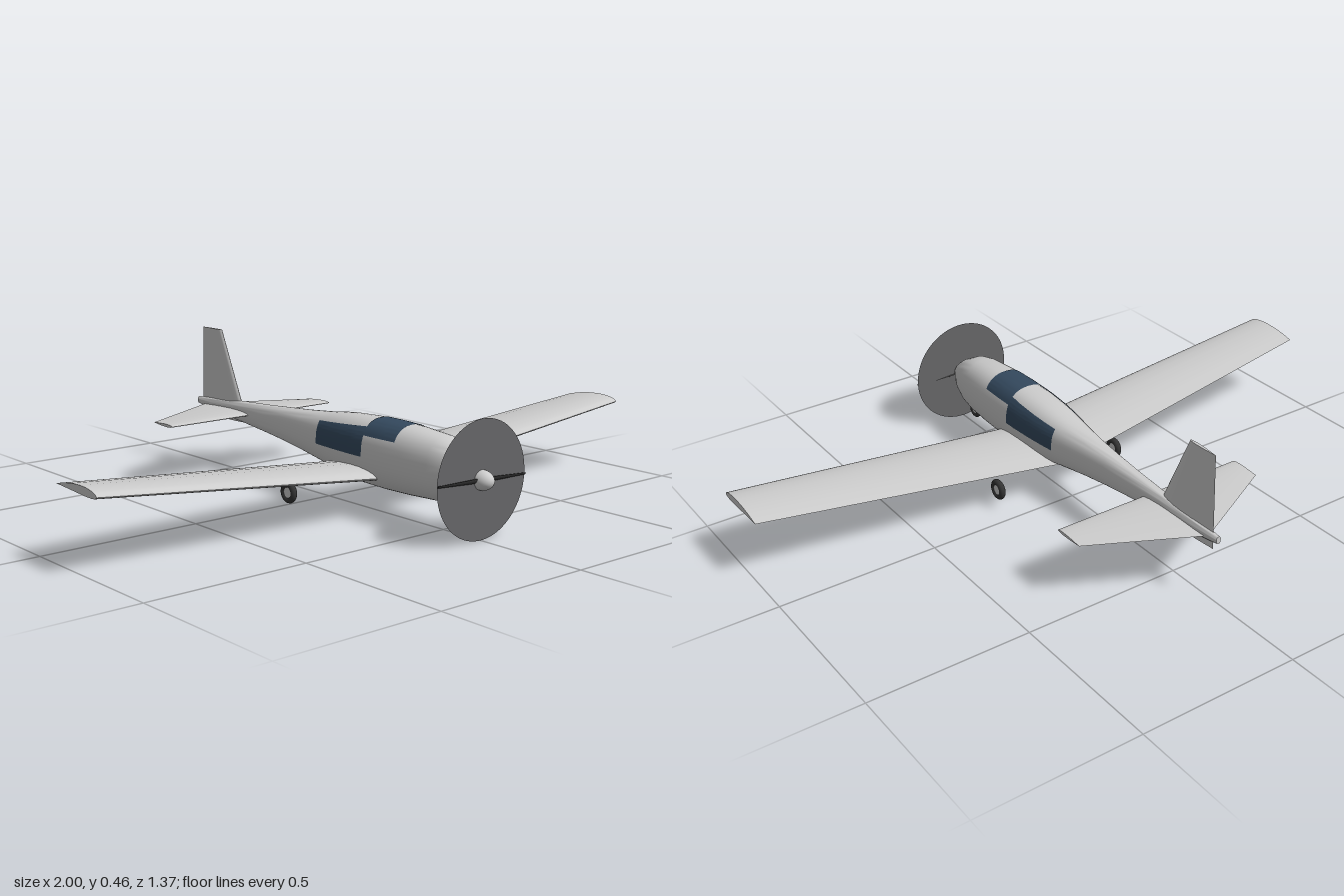
import * as THREE from 'three';
import { toCreasedNormals } from 'three/addons/utils/BufferGeometryUtils.js';

const mat = (name, color, side = THREE.FrontSide) => {
  const m = new THREE.MeshStandardMaterial({ color, side });
  m.name = name;
  return m;
};

// Skin a list of equal-length cross-sections, counter-clockwise about the sweep direction.
function loft(rings, closed = true) {
  const n = rings[0].length, index = [];
  for (let i = 0; i < rings.length - 1; i++) {
    for (let j = 0; j < (closed ? n : n - 1); j++) {
      const a = i * n + j, b = i * n + (j + 1) % n;
      index.push(a, b, a + n, b, b + n, a + n);
    }
  }
  if (closed) {
    const last = (rings.length - 1) * n;
    for (let j = 1; j < n - 1; j++) {
      index.push(0, j + 1, j, last, last + j, last + j + 1);
    }
  }
  const g = new THREE.BufferGeometry();
  g.setAttribute('position', new THREE.Float32BufferAttribute(rings.flat(2), 3));
  g.setIndex(index);
  return toCreasedNormals(g, 0.7);
}

// Airfoil outline as [thickness, chord position] pairs, from trailing edge over the top and back.
function foil(lead, trail, ratio, camber = 0) {
  const chord = lead - trail;
  const half = s => 5 * ratio * (0.2969 * Math.sqrt(s) - 0.126 * s - 0.3516 * s * s
    + 0.2843 * s ** 3 - 0.1036 * s ** 4);
  const point = (s, sign) => [
    chord * (sign * half(s) + camber * 4 * s * (1 - s)), lead - s * chord];
  const stations = [0.8, 0.6, 0.4, 0.25, 0.12, 0.05, 0.015];
  return [[0, trail], ...stations.map(s => point(s, 1)), [0, lead],
    ...stations.slice().reverse().map(s => point(s, -1))];
}

// Fuselage stations: z, top, bottom, half width
const STATIONS = [
  [-0.685, 0.218, 0.195, 0.008], [-0.6, 0.225, 0.183, 0.015], [-0.45, 0.235, 0.169, 0.021],
  [-0.3, 0.243, 0.153, 0.029], [-0.2, 0.25, 0.141, 0.036], [-0.1, 0.257, 0.127, 0.047],
  [0, 0.266, 0.112, 0.063], [0.06, 0.274, 0.1, 0.071], [0.12, 0.28, 0.09, 0.077],
  [0.2, 0.284, 0.082, 0.082], [0.3, 0.284, 0.08, 0.083], [0.4, 0.281, 0.082, 0.081],
  [0.5, 0.273, 0.086, 0.074], [0.55, 0.262, 0.094, 0.066], [0.6, 0.236, 0.109, 0.05],
  [0.625, 0.218, 0.123, 0.039], [0.64, 0.205, 0.135, 0.031],
];
const POWER = 2 / 2.4;
const spow = (v, p) => Math.sign(v) * Math.abs(v) ** p;

function section(z) {
  let i = 0;
  while (i < STATIONS.length - 2 && z > STATIONS[i + 1][0]) i++;
  const a = STATIONS[i], b = STATIONS[i + 1], t = (z - a[0]) / (b[0] - a[0]);
  const [top, bottom, rx] = [1, 2, 3].map(k => a[k] + (b[k] - a[k]) * t);
  return { cy: (top + bottom) / 2, ry: (top - bottom) / 2, rx };
}
function skin(z, angle, lift = 0) {
  const { cy, ry, rx } = section(z);
  return [(rx + lift) * spow(Math.cos(angle), POWER),
    cy + (ry + lift) * spow(Math.sin(angle), POWER), z];
}
// Angle on the right-hand half of a section at which the skin reaches height y
function angleAt(z, y) {
  const { cy, ry } = section(z);
  return Math.asin(THREE.MathUtils.clamp(spow((y - cy) / ry, 1 / POWER), -1, 1));
}
// Glass patch lying just over the fuselage skin
function glassPatch(z0, z1, from, to) {
  const rings = [];
  for (let i = 0; i <= 16; i++) {
    const z = z0 + (z1 - z0) * i / 16, a = from(z), b = to(z), ring = [];
    for (let j = 0; j <= 24; j++) ring.push(skin(z, a + (b - a) * j / 24, 0.002));
    rings.push(ring);
  }
  return loft(rings, false);
}

export function createModel() {
  const model = new THREE.Group();
  model.name = 'lightAircraft';
  const body = mat('bodyGrey', 0xcccccc);
  const glass = mat('windowBlue', 0x34495e, THREE.DoubleSide);
  const dark = mat('rubberBlack', 0x333333);
  const blur = mat('propellerDiscGrey', 0x666668, THREE.DoubleSide);
  const add = (name, geometry, material, parent = model) => {
    const m = new THREE.Mesh(geometry, material);
    m.name = name;
    parent.add(m);
    return m;
  };

  // Fuselage
  add('fuselage', loft(STATIONS.map(([z]) =>
    Array.from({ length: 40 }, (_, j) => skin(z, j / 40 * Math.PI * 2)))), body);

  // Windshield over the top, and a window on each side
  const shieldEdge = z => angleAt(z, 0.24);
  add('windshield', glassPatch(0.24, 0.372, shieldEdge, z => Math.PI - shieldEdge(z)), glass);
  const low = z => angleAt(z, 0.179);
  const high = z => angleAt(z, 0.247 + 0.075 * (z - 0.017));
  add('leftWindow', glassPatch(0.017, 0.242, low, high), glass);
  add('rightWindow', glassPatch(0.017, 0.242, z => Math.PI - high(z), z => Math.PI - low(z)), glass);

  // Wing with upward sweep towards the tips
  add('wing', loft([-1, 0, 1].map(x => {
    const r = Math.abs(x);
    return foil(0.3, 0.015 + 0.087 * r, 0.12, 0.03).map(([t, c]) => [x, 0.115 + 0.105 * r + t, c]);
  })), body);

  // Tailplane
  add('tailplane', loft([-0.32, 0, 0.32].map(x =>
    foil(-0.38, x ? -0.48 : -0.645, x ? 0.09 : 0.065).map(([t, c]) => [x, 0.2 + t, c]))), body);

  // Fin
  add('fin', loft([[0.167, -0.416, -0.665], [0.46, -0.55, -0.655]].map(([y, lead, trail]) =>
    foil(lead, trail, 0.09).map(([t, c]) => [-t, y, c]))), body);

  // Propeller: spinner, two blades and the spinning disc
  const propeller = new THREE.Group();
  propeller.name = 'propeller';
  propeller.position.set(0, 0.172, 0.645);
  propeller.rotation.z = -0.04;
  model.add(propeller);
  add('propellerDisc', new THREE.CircleGeometry(0.171, 64), blur, propeller);
  const spinner = add('spinner', new THREE.SphereGeometry(0.029, 24, 16), body, propeller);
  spinner.scale.z = 1.4;
  for (const s of [-1, 1]) {
    const g = new THREE.CylinderGeometry(0.004, 0.01, 0.17, 10);
    g.translate(0, 0.085, 0).scale(1, 1, 0.4).rotateY(s * 0.6).rotateZ(-s * Math.PI / 2);
    add('blade', g, dark, propeller).position.z = 0.004;
  }

  // Wheels
  for (const [name, x, y, z, r] of [['noseWheel', 0, 0.06, 0.563, 0.028],
    ['leftWheel', 0.222, 0.064, 0.08, 0.033], ['rightWheel', -0.222, 0.064, 0.08, 0.033]]) {
    const wheel = new THREE.Group();
    wheel.name = name;
    wheel.position.set(x, y, z);
    model.add(wheel);
    add('tyre', new THREE.TorusGeometry(r * 0.7, r * 0.3, 12, 32).rotateY(Math.PI / 2), dark, wheel);
    add('hub', new THREE.CylinderGeometry(r * 0.55, r * 0.55, r * 0.4, 24).rotateZ(Math.PI / 2), body, wheel);
  }
  return model;
}
